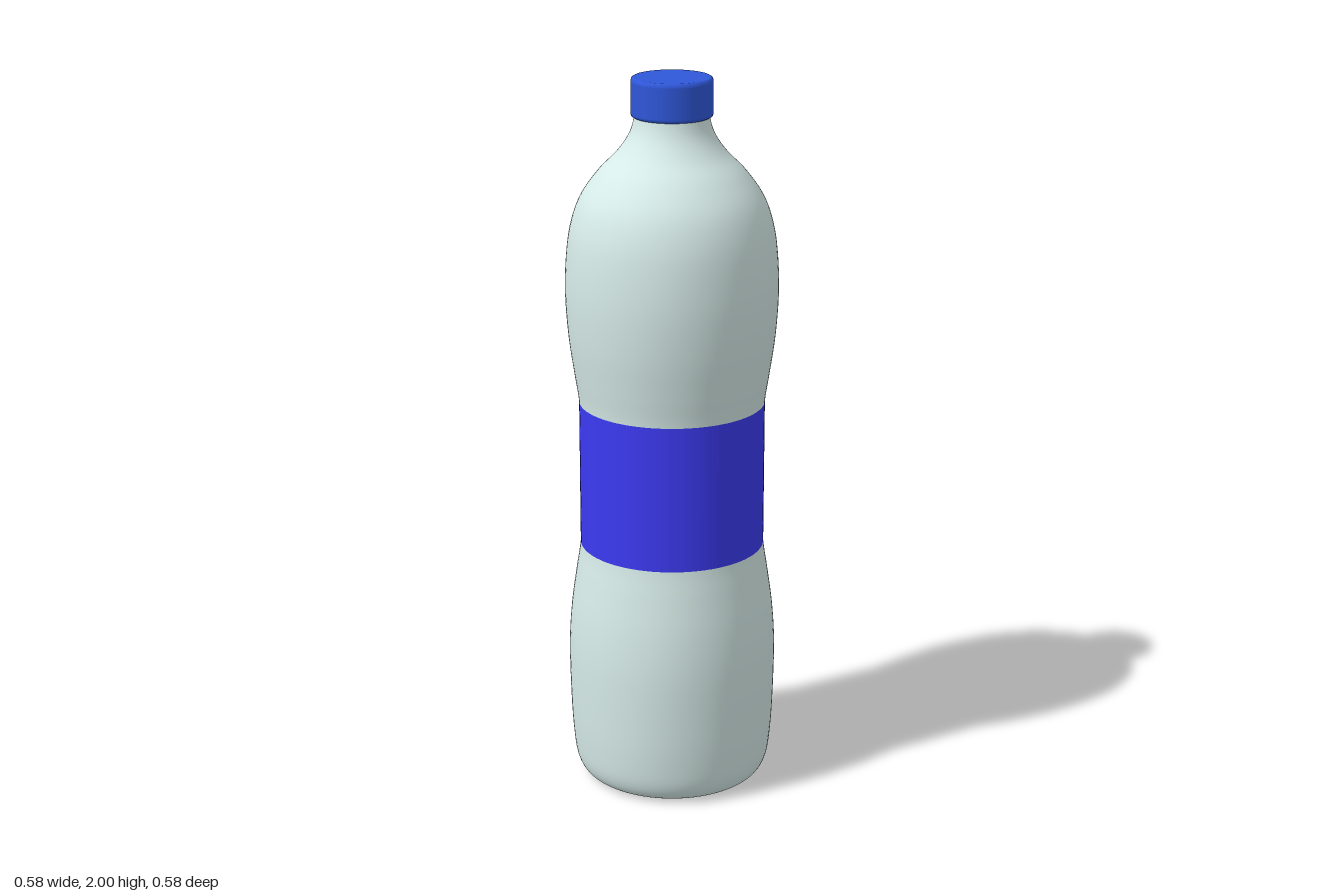
import * as THREE from 'three';

const SEGMENTS = 96;

// Rounds a list of [radius, height] points into a smooth profile
function smoothProfile(points, divisions) {
  return new THREE.SplineCurve(points.map(([r, y]) => new THREE.Vector2(r, y))).getPoints(divisions);
}

function addLathe(group, name, profile, color) {
  const material = new THREE.MeshStandardMaterial({ color, side: THREE.DoubleSide });
  const mesh = new THREE.Mesh(new THREE.LatheGeometry(profile, SEGMENTS), material);
  mesh.name = name;
  group.add(mesh);
  return mesh;
}

export function createModel() {
  const bottle = new THREE.Group();
  bottle.name = 'bottle';

  // Body: rounded foot, narrow waist, wide shoulder, slim neck
  const body = smoothProfile([
    [0.225, 0.0], [0.254, 0.018], [0.272, 0.055], [0.281, 0.12], [0.287, 0.22],
    [0.29, 0.38], [0.283, 0.5], [0.268, 0.61], [0.256, 0.69], [0.25, 0.78],
    [0.249, 0.9], [0.25, 1.02], [0.256, 1.11], [0.268, 1.19], [0.283, 1.3],
    [0.29, 1.42], [0.285, 1.53], [0.272, 1.61], [0.246, 1.68], [0.2, 1.745],
    [0.147, 1.8], [0.114, 1.85], [0.1, 1.9], [0.098, 1.95],
  ], 140);
  addLathe(bottle, 'body', body, 0xd6ebe8);

  // Flat underside
  const base = new THREE.Mesh(
    new THREE.CircleGeometry(0.225, SEGMENTS).rotateX(Math.PI / 2),
    new THREE.MeshStandardMaterial({ color: 0xd6ebe8 }),
  );
  base.name = 'base';
  bottle.add(base);

  // Label wrapped round the waist
  const label = new THREE.Mesh(
    new THREE.CylinderGeometry(0.2555, 0.2555, 0.42, SEGMENTS, 1, true),
    new THREE.MeshStandardMaterial({ color: 0x3c3af2, side: THREE.DoubleSide }),
  );
  label.name = 'label';
  label.position.y = 0.9;
  bottle.add(label);

  // Screw cap with softened rims; doubled points keep the flats crisp
  const cap = [
    [0, 1.895], [0.104, 1.895], [0.1045, 1.895], [0.109, 1.898], [0.11, 1.903], [0.11, 1.905],
    [0.11, 1.988], [0.11, 1.99], [0.108, 1.997], [0.103, 2], [0.101, 2], [0, 2],
  ].map(([r, y]) => new THREE.Vector2(r, y));
  addLathe(bottle, 'cap', cap, 0x2f57d9);

  return bottle;
}
